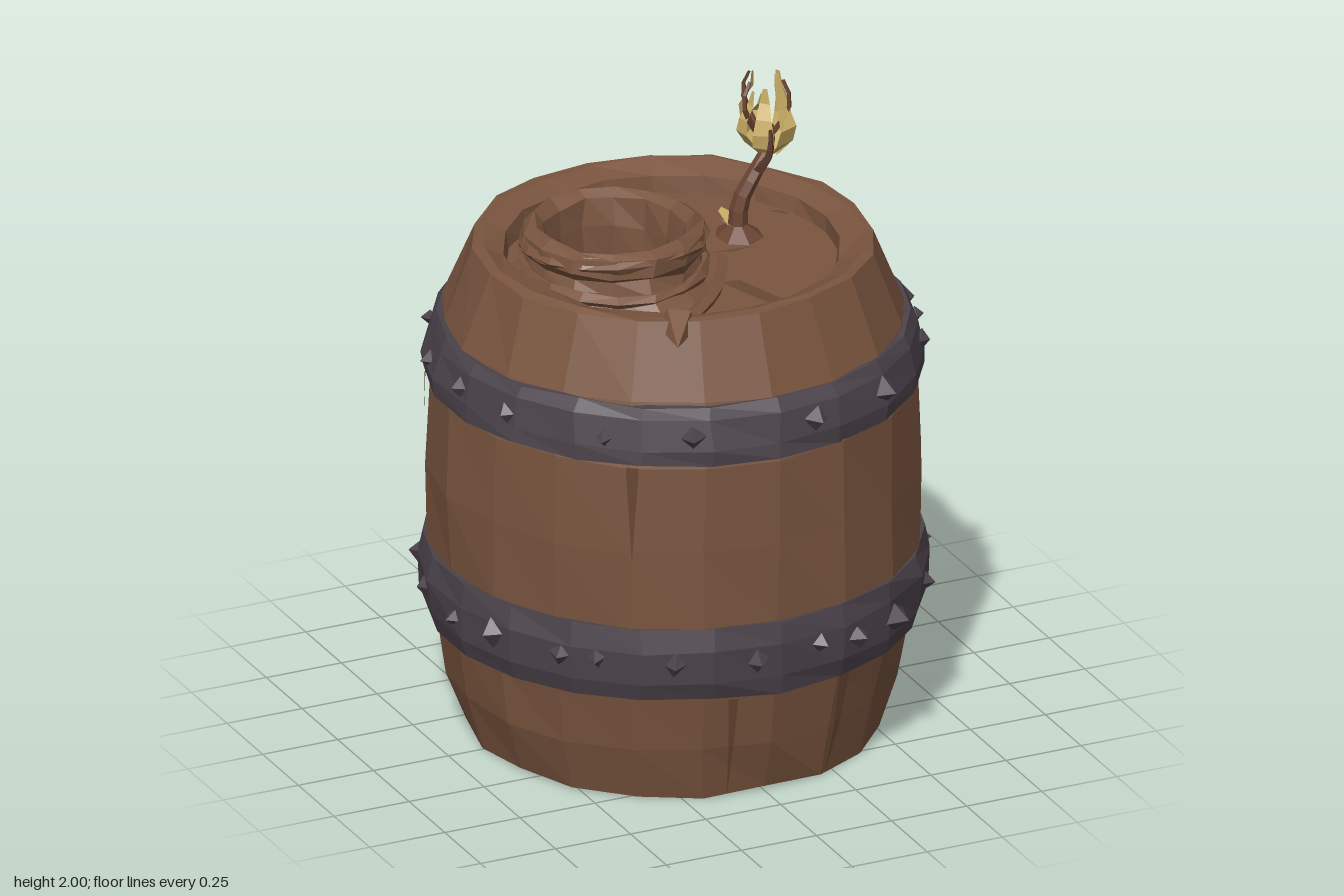
import * as THREE from 'three';

const mat = (name, color) => new THREE.MeshStandardMaterial({ name, color, flatShading: true, side: THREE.DoubleSide });
const V = (x, y, z) => new THREE.Vector3(x, y, z);

// Repeatable noise from a position, so seam vertices stay joined
function noise(x, y, z, k) {
  const r = v => Math.round(v * 1000) + 0;
  const s = Math.sin(r(x) * 0.127 + r(y) * 0.311 + r(z) * 0.749 + k * 17.3) * 43758.5;
  return (s - Math.floor(s)) * 2 - 1;
}
function roughen(geo, amount) {
  const p = geo.attributes.position;
  for (let i = 0; i < p.count; i++) {
    const x = p.getX(i), y = p.getY(i), z = p.getZ(i);
    p.setXYZ(i, x + noise(x, y, z, 1) * amount, y + noise(x, y, z, 2) * amount, z + noise(x, y, z, 3) * amount);
  }
  geo.computeVertexNormals();
  return geo;
}
const lathe = (pts, sides, rough) =>
  roughen(new THREE.LatheGeometry(pts.map(p => new THREE.Vector2(...p)), sides), rough);

// Ribbon: rule(t) gives [centre, half-width vector]
function strip(rule, rows) {
  const geo = new THREE.PlaneGeometry(1, 1, 1, rows), p = geo.attributes.position;
  for (let i = 0; i < p.count; i++) {
    const [c, h] = rule(p.getY(i) + 0.5);
    c.addScaledVector(h, p.getX(i) * 2);
    p.setXYZ(i, c.x, c.y, c.z);
  }
  geo.computeVertexNormals();
  return geo;
}

// Tube that tapers toward its end
function taperTube(points, r0, r1, rows, sides) {
  const curve = new THREE.CatmullRomCurve3(points);
  const geo = new THREE.TubeGeometry(curve, rows, r0, sides), p = geo.attributes.position;
  for (let i = 0; i < p.count; i++) {
    const t = Math.floor(i / (sides + 1)) / rows, c = curve.getPointAt(t);
    const v = V().fromBufferAttribute(p, i).sub(c).multiplyScalar(1 + (r1 / r0 - 1) * t).add(c);
    p.setXYZ(i, v.x, v.y, v.z);
  }
  geo.computeVertexNormals();
  return geo;
}

// Round horizontal board with holes, outlined in x and z
function disc(radius, thick, holes) {
  const shape = new THREE.Shape();
  for (let i = 0; i < 20; i++) {
    const a = i / 20 * Math.PI * 2;
    shape[i ? 'lineTo' : 'moveTo'](radius * Math.cos(a), radius * Math.sin(a));
  }
  for (const h of holes) shape.holes.push(new THREE.Path(h.map(p => new THREE.Vector2(...p))));
  return new THREE.ExtrudeGeometry(shape, { depth: thick, bevelEnabled: false }).rotateX(Math.PI / 2);
}

const OUTER = [[0.635, 0.01], [0.685, 0.18], [0.72, 0.37], [0.745, 0.6], [0.752, 0.86], [0.745, 1.14], [0.7, 1.33], [0.61, 1.565]];
function radiusAt(y) {
  for (let i = 1; i < OUTER.length; i++) {
    const [r0, y0] = OUTER[i - 1], [r1, y1] = OUTER[i];
    if (y <= y1) return r0 + (r1 - r0) * (y - y0) / (y1 - y0);
  }
  return 0.61;
}

export function createModel() {
  const model = new THREE.Group();
  model.name = 'barrel';
  const wood = mat('brown wood', 0x7a553f);
  const split = mat('split wood', 0x664531);
  const iron = mat('dark iron', 0x4c434b);
  const stemBrown = mat('stem brown', 0x6b4433);
  const gold = mat('bud yellow', 0xcbb067);
  const add = (name, geo, m, parent = model) => {
    const mesh = new THREE.Mesh(geo, m);
    mesh.name = name;
    parent.add(mesh);
    return mesh;
  };

  // Staves with a thick rim at both ends
  add('staves', lathe([[0.53, 0.09], [0.53, 0.02], ...OUTER, [0.58, 1.57], [0.51, 1.545], [0.495, 1.46]], 20, 0.008), wood);

  // Lid with an open mouth and a few gaps
  const mouth = { x: -0.21, z: 0.025 };
  const hole = [];
  for (let i = 0; i < 14; i++) {
    const a = i / 14 * Math.PI * 2;
    hole.push([mouth.x + 0.21 * Math.cos(a), mouth.z + 0.21 * Math.sin(a)]);
  }
  add('lid', disc(0.52, 0.03, [
    hole,
    [[0.06, 0.2], [0.12, 0.21], [0.2, 0.46], [0.15, 0.47]],
    [[0.12, -0.01], [0.27, 0.005], [0.2, 0.015]],
    [[0.41, -0.21], [0.45, -0.2], [0.46, -0.16]],
  ]), wood).position.y = 1.49;

  // Bottom boards with gaps between them
  add('bottomBoards', disc(0.56, 0.03, [
    [[-0.45, -0.17], [-0.1, -0.12], [0.38, 0.0], [0.38, 0.02], [-0.18, 0.0], [-0.42, -0.06]],
    [[-0.2, 0.19], [0.3, 0.22], [0.3, 0.26], [-0.2, 0.22]],
    [[-0.3, 0.28], [0.4, 0.32], [0.38, 0.36], [-0.2, 0.31]],
    [[-0.1, 0.43], [0.26, 0.45], [0.25, 0.48], [-0.05, 0.45]],
    [[-0.3, -0.34], [0.3, -0.3], [0.25, -0.285]],
  ]), wood).position.y = 0.1;

  // Iron hoops with pointed studs at uneven angles
  const hoops = [
    ['lowerHoop', [[0.68, 0.38], [0.745, 0.37], [0.765, 0.43], [0.772, 0.54], [0.758, 0.61], [0.68, 0.6], [0.68, 0.38]], 0.5, 0.765,
      [-71, -52, -43, -25, -6, 10, 21, 35, 55, 78, 88, 113, 128, 138, 157, 178, 197, 216, 238, 258, 275]],
    ['upperHoop', [[0.66, 1.16], [0.755, 1.15], [0.755, 1.2], [0.735, 1.29], [0.715, 1.33], [0.66, 1.32], [0.66, 1.16]], 1.235, 0.742,
      [-68, -42, -21, 10, 33, 64, 77, 88, 106, 121, 133, 146, 165, 183, 200, 214, 235, 255, 275]],
  ];
  for (const [name, profile, y, r, angles] of hoops) {
    const hoop = new THREE.Group();
    hoop.name = name;
    model.add(hoop);
    add('hoop', lathe(profile, 22, 0.006), iron, hoop);
    angles.forEach((deg, i) => {
      const a = deg * Math.PI / 180, size = 0.037 + 0.012 * noise(deg, i, y, 4);
      const geo = roughen(new THREE.OctahedronGeometry(size), 0.005);
      const stud = add('stud', geo, iron, hoop);
      stud.position.set(Math.sin(a) * r, y + 0.015 * noise(deg, i, y, 5), Math.cos(a) * r);
      stud.rotation.set(0, a, 0.3 * noise(deg, i, y, 6));
    });
  }

  // Tapering splits along the staves: angle, wide end, narrow end, half width
  const splits = [[-35, 1.14, 0.84, 0.02], [20, 0.37, 0.02, 0.022], [-11, 0.36, 0.02, 0.015],
    [106, 1.14, 0.86, 0.018], [133, 1.14, 0.88, 0.02], [90, 0.02, 0.13, 0.015],
    [125, 0.36, 0.18, 0.05], [200, 1.14, 0.85, 0.02], [240, 1.14, 0.95, 0.018], [225, 0.36, 0.12, 0.02]];
  for (const [deg, y0, y1, w] of splits) {
    const a = deg * Math.PI / 180;
    add('stave split', strip(t => {
      const y = y0 + (y1 - y0) * t, r = radiusAt(y) + 0.004;
      return [V(Math.sin(a) * r, y, Math.cos(a) * r), V(Math.cos(a), 0, -Math.sin(a)).multiplyScalar(w * (1 - t * 0.95))];
    }, 4), split);
  }

  // Broken splinter on the rim
  const chip = add('rim splinter', roughen(new THREE.ConeGeometry(0.055, 0.14, 5), 0.01), wood);
  chip.position.set(-0.26, 1.535, 0.585);
  chip.rotation.set(1.75, 0, 0.35);

  // Raised mouth wrapped by rough coils
  const neck = new THREE.Group();
  neck.name = 'mouth';
  neck.position.set(mouth.x, 0, mouth.z);
  model.add(neck);
  add('mouth collar', lathe([[0.32, 1.48], [0.275, 1.53], [0.26, 1.58], [0.285, 1.61], [0.28, 1.655], [0.245, 1.678],
    [0.215, 1.65], [0.205, 1.56], [0.205, 1.45]], 14, 0.009), wood, neck);
  [[0.275, 1.545, 0.06], [0.27, 1.625, -0.07]].forEach(([r, y, tilt]) => {
    const coil = add('mouth coil', roughen(new THREE.TorusGeometry(r, 0.022, 5, 16).rotateX(Math.PI / 2 + tilt), 0.007), wood, neck);
    coil.position.y = y;
  });
  add('root', taperTube([V(0.08, 1.53, 0.14), V(0.0, 1.51, 0.28), V(-0.12, 1.5, 0.4), V(-0.22, 1.5, 0.48)], 0.035, 0.018, 6, 5), wood);

  // Sprout: mound, stem, side shoot and ragged bud
  const sprout = new THREE.Group();
  sprout.name = 'sprout';
  model.add(sprout);
  const mound = add('mound', roughen(new THREE.ConeGeometry(0.08, 0.06, 7), 0.008), stemBrown, sprout);
  mound.position.set(0.26, 1.515, -0.09);
  add('stem', taperTube([V(0.255, 1.48, -0.09), V(0.265, 1.6, -0.09), V(0.31, 1.68, -0.09), V(0.365, 1.75, -0.11), V(0.37, 1.82, -0.12)],
    0.032, 0.018, 8, 6), stemBrown, sprout);
  add('side shoot', taperTube([V(0.32, 1.69, -0.09), V(0.33, 1.73, -0.05), V(0.33, 1.79, -0.015), V(0.32, 1.86, 0.005)],
    0.02, 0.006, 5, 4), stemBrown, sprout);
  for (const [x, z, a] of [[0.215, -0.08, 2.8], [0.24, -0.14, 4.0]]) {
    add('base leaf', strip(t => [V(x + 0.04 * Math.cos(a) * (t - 0.5), 1.525 + 0.03 * t, z + 0.04 * Math.sin(a) * (t - 0.5)),
      V(-Math.sin(a), 0.2, Math.cos(a)).multiplyScalar(0.03 * (1 - 0.6 * t))], 2), gold, sprout);
  }
  const bulge = [0.02, 0.07, 0.085, 0.08, 0.06, 0.045];
  for (let i = 0; i < 7; i++) {
    const a = i / 7 * Math.PI * 2 + 0.3, top = [2.0, 1.92, 1.98, 1.9, 1.99, 1.94, 1.96][i];
    add('petal', strip(t => {
      const k = Math.round(t * 5), r = bulge[k] + 0.012 * noise(i, k, 2, 7);
      return [V(0.37 + Math.sin(a) * r, 1.725 + (top - 1.725) * t, -0.12 + Math.cos(a) * r),
        V(Math.cos(a), 0.15 * noise(i, k, 1, 8), -Math.sin(a)).multiplyScalar([0.015, 0.034, 0.032, 0.024, 0.016, 0.007][k])];
    }, 5), gold, sprout);
  }
  for (const a of [0.7, 3.6, 5.0]) {
    const at = (r, y) => V(0.36 + Math.sin(a) * r, y, -0.12 + Math.cos(a) * r);
    add('tendril', taperTube([at(0.01, 1.78), at(0.06, 1.85), at(0.085, 1.92), at(0.06, 1.98)], 0.012, 0.006, 5, 4), stemBrown, sprout);
  }
  return model;
}
